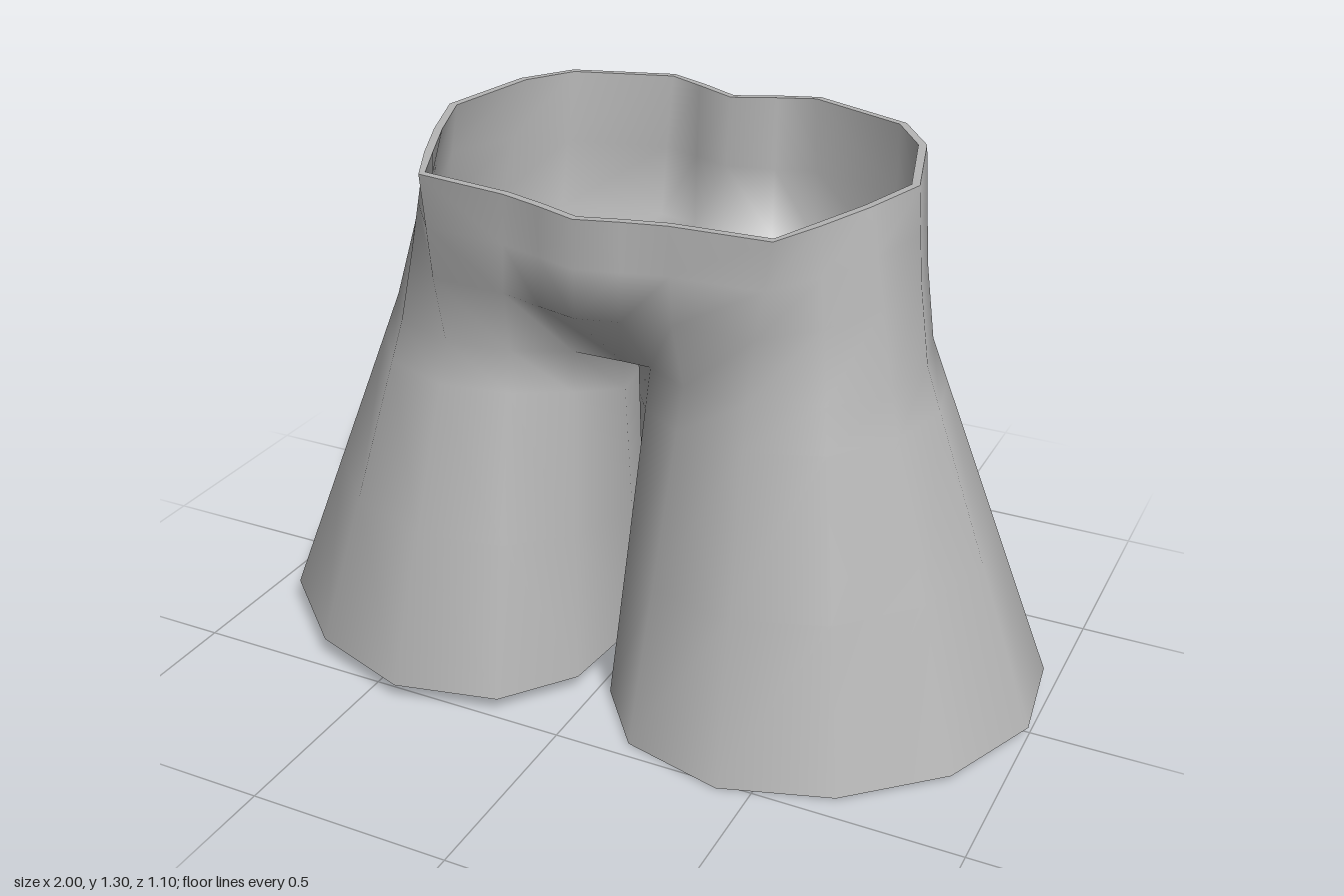
import * as THREE from 'three';

// Left-half outlines as [x, z] (or [x, y, z]), running front -> outside -> back -> inside
const HEM = [[.04, .3], [.17, .46], [.42, .52], [.68, .44], [.89, .26], [1, .02],
  [.97, -.22], [.82, -.4], [.57, -.455], [.3, -.41], [.1, -.24], [.01, .04]];
const THIGH = [[.1, .85, .2], [.22, .86, .28], [.38, .86, .3], [.54, .86, .24], [.64, .86, .1], [.67, .86, -.06],
  [.63, .86, -.22], [.5, .86, -.35], [.32, .86, -.39], [.13, .87, -.36], [.03, .83, -.08], [.02, .82, .1]];
// Torso rows: front centre, ten points around the side, back centre
const HIP = [[0, 1.02, .375], [.1, 1.02, .35], [.21, 1.02, .32], [.4, 1.02, .31], [.52, 1.03, .21], [.6, 1.04, .07], [.63, 1.04, -.1],
  [.58, 1.01, -.3], [.47, .95, -.43], [.22, .93, -.53], [.1, .93, -.5], [0, .95, -.43]];
const WAIST = [[0, .375], [.1, .345], [.2, .32], [.43, .3], [.49, .18], [.55, .04], [.605, -.12],
  [.54, -.36], [.45, -.475], [.2, -.555], [.1, -.52], [0, -.475]];
const THICKNESS = 0.02;

const mix = (a, b, t) => a.map((v, i) => v + (b[i] - v) * t);

function buildShell() {
  const pts = [], faces = [];
  const add = p => pts.push(p) - 1;
  const waistPoint = (x, z) => [x, 1.268 - .05 * z - .02 * x, z];
  const crotchFront = add([0, .82, .14]), crotchBack = add([0, .88, -.27]);
  const centres = [0, 11].map(k => {
    const top = waistPoint(...WAIST[k]);
    return [k ? crotchBack : crotchFront, add(HIP[k]), add(mix(HIP[k], top, .5)), add(top)];
  });
  const thighs = [], hems = [], waists = [];

  for (const s of [1, -1]) {
    const tri = (a, b, c) => faces.push(s > 0 ? [a, b, c] : [a, c, b]);
    const strip = (low, high, n) => {
      for (let k = 0; k < n; k++) {
        const j = (k + 1) % low.length;
        tri(low[k], low[j], high[j]);
        tri(low[k], high[j], high[k]);
      }
    };
    const side = p => [p[0] * s, p[1], p[2]];

    // leg tube
    const hemPts = HEM.map(([x, z]) => s > 0
      ? [x, .05 * (.52 - z) / .97, z]
      : [-x, .03 + .025 * x + .03 * (.55 - z), z * 1.05]);
    const thighPts = THIGH.map(side);
    const thigh = thighPts.map(add);
    const hem = hemPts.map(add);
    let below = hem;
    for (const t of [.45, .88]) {
      const ring = hemPts.map((p, k) => add(mix(p, thighPts[k], t)));
      strip(below, ring, 12);
      below = ring;
    }
    strip(below, thigh, 12);

    // half of the hips and waistband
    const row = (level, fn) => [centres[0][level],
      ...Array.from({ length: 10 }, (_, i) => fn(i + 1)), centres[1][level]];
    const top = k => waistPoint(WAIST[k][0] * s, WAIST[k][1]);
    const rows = [
      row(0, k => thigh[k - 1]),
      row(1, k => add(side(HIP[k]))),
      row(2, k => add(mix(side(HIP[k]), top(k), .5))),
      row(3, k => add(top(k))),
    ];
    for (let r = 0; r < 3; r++) strip(rows[r], rows[r + 1], 11);

    // gusset flanks
    tri(crotchFront, thigh[11], thigh[0]);
    tri(crotchBack, thigh[9], thigh[10]);
    thighs.push(thigh);
    hems.push(s > 0 ? hem : hem.slice().reverse());
    waists.push(rows[3]);
  }

  // gusset between the legs
  const [l, r] = thighs;
  faces.push([crotchFront, r[11], l[11]], [l[11], r[11], r[10]],
    [l[11], r[10], l[10]], [crotchBack, l[10], r[10]]);

  const waist = [...waists[0], ...waists[1].slice(1, -1).reverse()];
  return { pts, faces, hems, waist };
}

function makeGeometry(pts, faces) {
  const g = new THREE.BufferGeometry();
  g.setAttribute('position', new THREE.Float32BufferAttribute(pts.flat(), 3));
  g.setIndex(faces.flat());
  g.computeVertexNormals();
  return g;
}

export function createModel() {
  const group = new THREE.Group();
  const cloth = new THREE.MeshStandardMaterial({ color: 0xb4b4b4 });
  cloth.name = 'grey cloth';
  const addMesh = (name, geometry) => {
    const mesh = new THREE.Mesh(geometry, cloth);
    mesh.name = name;
    group.add(mesh);
  };

  const { pts, faces, hems, waist } = buildShell();
  const outer = makeGeometry(pts, faces);
  addMesh('shortsOuter', outer);

  // lining: the outer surface moved inwards and turned over
  const n = outer.attributes.normal;
  const lining = pts.map((p, i) => [
    p[0] - n.getX(i) * THICKNESS, p[1] - n.getY(i) * THICKNESS * .2, p[2] - n.getZ(i) * THICKNESS]);
  addMesh('shortsLining', makeGeometry(lining, faces.map(([a, b, c]) => [a, c, b])));

  // flat rims closing the cloth edge
  const rim = (name, loop, up) => {
    const m = loop.length, quads = [];
    for (let k = 0; k < m; k++) {
      const j = (k + 1) % m;
      quads.push(...(up ? [[k, j, m + j], [k, m + j, m + k]] : [[k, m + j, j], [k, m + k, m + j]]));
    }
    addMesh(name, makeGeometry([...loop.map(i => pts[i]), ...loop.map(i => lining[i])], quads));
  };
  rim('waistRim', waist, true);
  rim('leftHemRim', hems[0], false);
  rim('rightHemRim', hems[1], false);
  return group;
}
